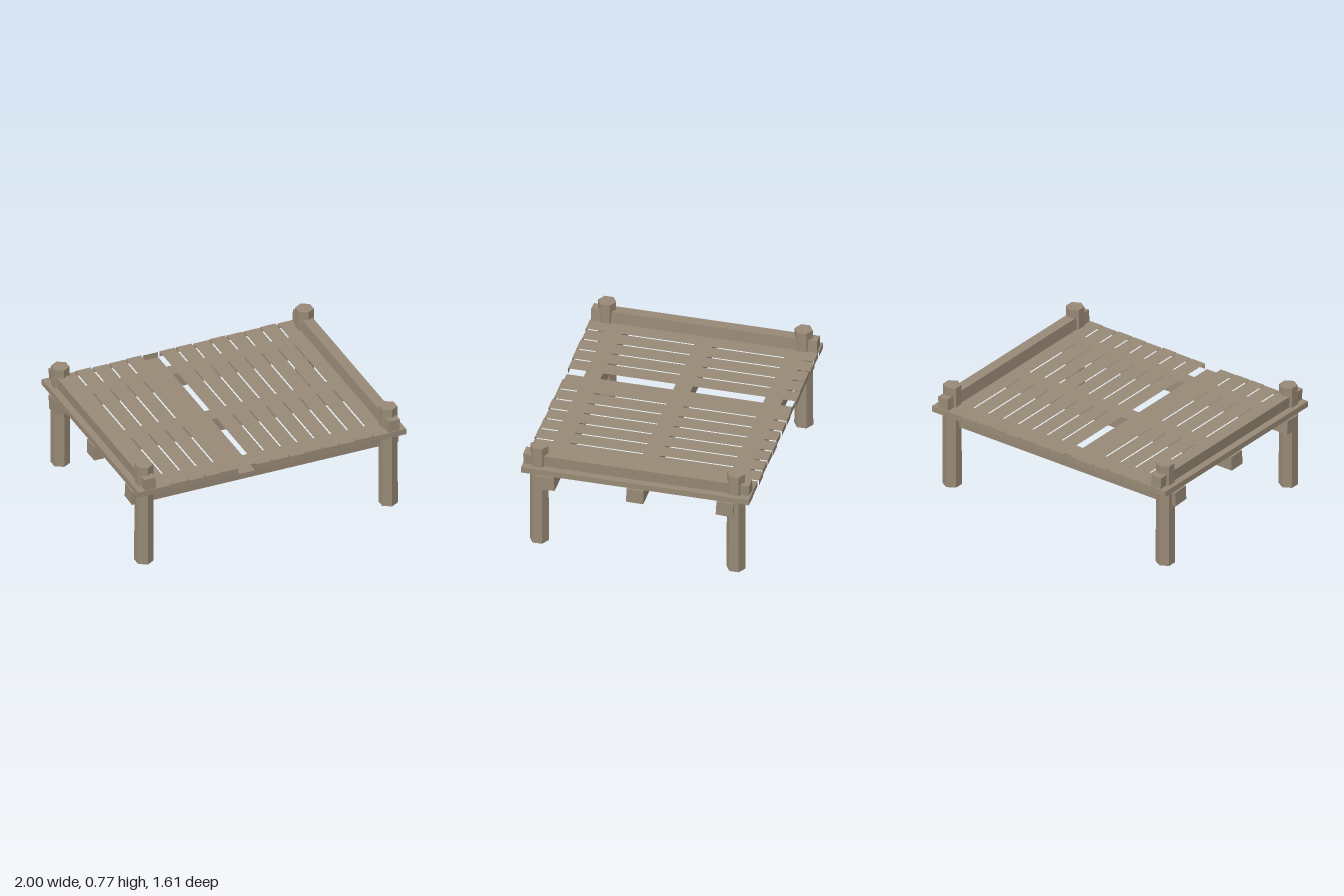
import * as THREE from 'three';

export function createModel() {
  const model = new THREE.Group();
  const wood = new THREE.MeshStandardMaterial({ color: 0x988976, side: THREE.DoubleSide });
  wood.name = 'weatheredWood';

  function add(name, geometry, x, y, z) {
    const flat = geometry.toNonIndexed();
    flat.computeVertexNormals();
    const mesh = new THREE.Mesh(flat, wood);
    mesh.name = name;
    mesh.position.set(x, y, z);
    model.add(mesh);
    return mesh;
  }

  // Open plank made of chosen box faces: 0 right, 1 left, 2 top, 3 bottom, 4 front, 5 back
  function plankGeometry(faces) {
    const box = new THREE.BoxGeometry(0.115, 0.042, 1.605);
    const all = Array.from(box.index.array);
    box.setIndex(faces.flatMap((f) => all.slice(f * 6, f * 6 + 6)));
    return box;
  }

  // Deck planks with slightly uneven ends; the outer two are closed at the side, one lies sunken
  const count = 16, pitch = 0.1256;
  for (let i = 0; i < count; i++) {
    const x = (i - (count - 1) / 2) * pitch;
    const shift = 0.004 * Math.sin(i * 2.3);
    let faces = [2, 4, 5];
    if (i === 0) faces = [1, 2, 4, 5];
    if (i === count - 1) faces = [0, 2, 4, 5];
    if (i === 6) faces = [3, 5];
    add('deckPlank', plankGeometry(faces), x, 0.601, shift - 0.003);
  }

  // Support beams under the deck, each rolled a little
  for (const [z, roll] of [[0.627, 0.06], [0, -0.02], [-0.632, -0.06]]) {
    const beam = add('supportBeam', new THREE.BoxGeometry(1.99, 0.105, 0.12), -0.003, 0.512, z);
    beam.rotation.x = roll;
  }

  for (const side of [-1, 1]) {
    // Side rails lying on the end planks between the posts
    const rail = add('sideRail', new THREE.BoxGeometry(0.082, 0.115, 1.59), side * 0.91, 0.651, 0);
    rail.rotation.z = side * -0.06;

    // Hexagonal corner posts, open underneath
    for (const end of [-1, 1]) {
      const post = new THREE.CylinderGeometry(0.064, 0.067, 0.77, 6);
      post.setIndex(Array.from(post.index.array).slice(0, -18));
      add('cornerPost', post, side * 0.912, 0.385, end * 0.692);
    }
  }
  return model;
}
